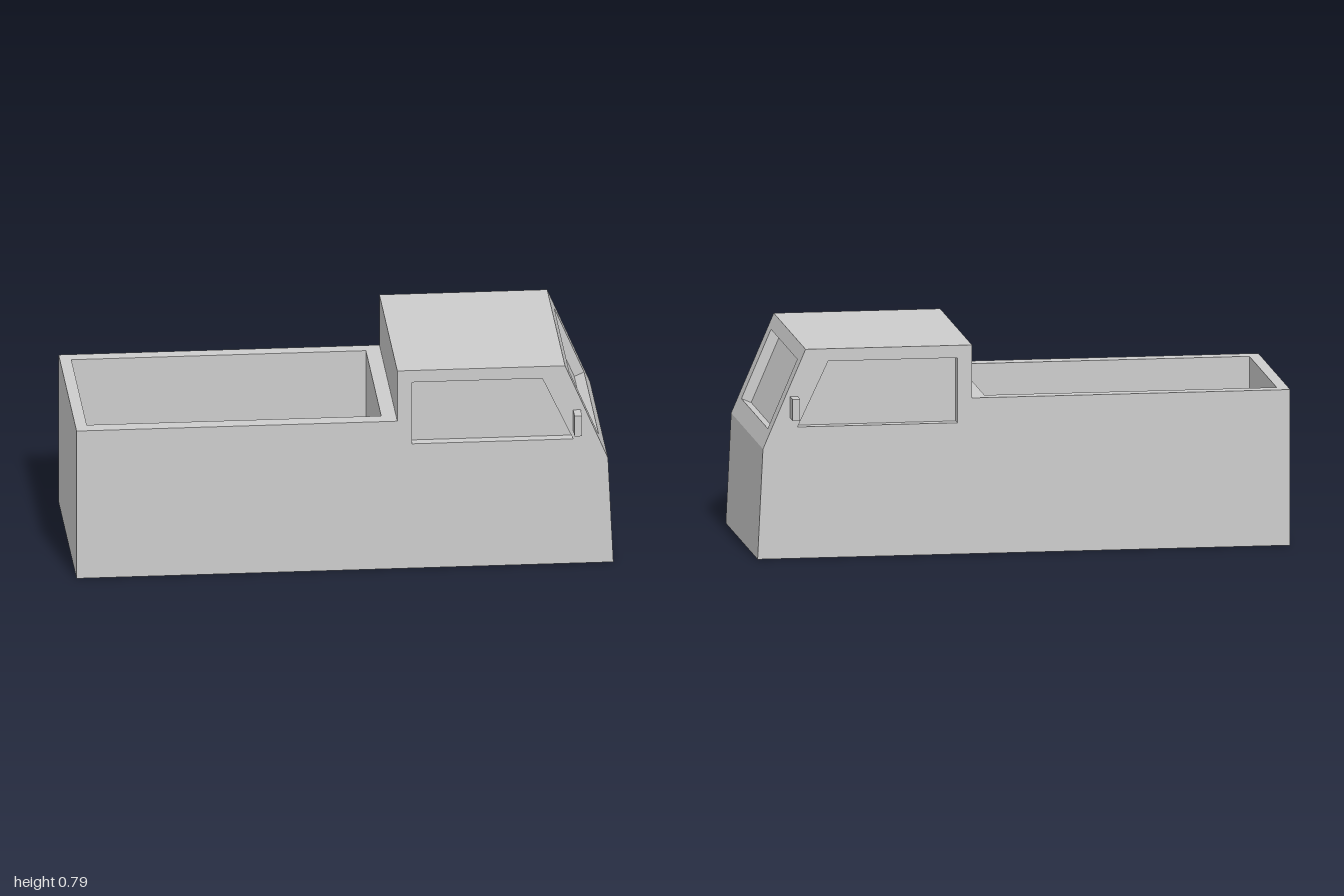
import * as THREE from 'three';

const HALF = 0.392; // half body width
const NOSE_Y = 0.415, NOSE_X = 0.98, ROOF_Y = 0.787, ROOF_X = 0.82, CAB_X = 0.195, BED_Y = 0.587;

const rect = (x0, y0, x1, y1) => [[x0, y0], [x1, y0], [x1, y1], [x0, y1]];
const mirrorX = (pts) => pts.map(([x, y]) => [-x, y]).reverse();
const toVectors = (pts) => pts.map(([x, y]) => new THREE.Vector2(x, y));

// Flat panel facing local +z, optionally with a recessed pocket (counter-clockwise outlines)
function panelGeometry(outline, pocket, depth) {
  const shape = new THREE.Shape(toVectors(outline));
  const flat = (s, z) => [...new THREE.ShapeGeometry(s).translate(0, 0, z).toNonIndexed().attributes.position.array];
  let positions;
  if (pocket) {
    shape.holes.push(new THREE.Path(toVectors(pocket)));
    positions = [...flat(shape, 0), ...flat(new THREE.Shape(toVectors(pocket)), -depth)];
    pocket.forEach((p, i) => {
      const q = pocket[(i + 1) % pocket.length];
      positions.push(...p, 0, ...q, 0, ...q, -depth, ...p, 0, ...q, -depth, ...p, -depth);
    });
  } else {
    positions = flat(shape, 0);
  }
  const geometry = new THREE.BufferGeometry();
  geometry.setAttribute('position', new THREE.Float32BufferAttribute(positions, 3));
  geometry.computeVertexNormals();
  return geometry;
}

export function createModel() {
  const model = new THREE.Group();
  model.name = 'pickupTruck';
  const grey = new THREE.MeshStandardMaterial({ color: 0xcccccc });
  grey.name = 'lightGrey';

  // Place a panel by its origin and its local right and up directions
  function addPanel(name, origin, right, up, outline, pocket, depth) {
    const u = new THREE.Vector3(...right).normalize();
    const v = new THREE.Vector3(...up).normalize();
    const basis = new THREE.Matrix4().makeBasis(u, v, u.clone().cross(v)).setPosition(...origin);
    const mesh = new THREE.Mesh(panelGeometry(outline, pocket, depth).applyMatrix4(basis), grey);
    mesh.name = name;
    model.add(mesh);
  }

  // Sides with recessed door windows
  const profile = [[-1, 0], [1, 0], [NOSE_X, NOSE_Y], [ROOF_X, ROOF_Y], [CAB_X, ROOF_Y], [CAB_X, BED_Y], [-1, BED_Y]];
  const sideWindow = [[0.25, 0.495], [0.85, 0.495], [0.735, 0.74], [0.25, 0.74]];
  addPanel('frontSide', [0, 0, HALF], [1, 0, 0], [0, 1, 0], profile, sideWindow, 0.04);
  addPanel('backSide', [0, 0, -HALF], [-1, 0, 0], [0, 1, 0], mirrorX(profile), mirrorX(sideWindow), 0.04);

  // Sloped windscreen with recessed glass
  const slope = [ROOF_X - NOSE_X, ROOF_Y - NOSE_Y, 0];
  const slopeLength = Math.hypot(...slope);
  addPanel('windscreen', [NOSE_X, NOSE_Y, 0], [0, 0, -1], slope,
    rect(-HALF, 0, HALF, slopeLength), rect(-0.322, 0.071, 0.324, 0.352), 0.04);

  // Slightly leaning nose
  addPanel('nose', [1, 0, 0], [0, 0, -1], [NOSE_X - 1, NOSE_Y, 0],
    rect(-HALF, 0, HALF, Math.hypot(1 - NOSE_X, NOSE_Y)));

  // Open cargo bed: rim, inner walls and floor
  addPanel('cargoBed', [0, BED_Y, 0], [1, 0, 0], [0, 0, -1],
    rect(-1, -HALF, CAB_X, HALF), rect(-0.957, -0.333, 0.14, 0.338), BED_Y - 0.05);

  // Roof, cab back, tailgate and underside
  addPanel('roof', [0, ROOF_Y, 0], [1, 0, 0], [0, 0, -1], rect(CAB_X, -HALF, ROOF_X, HALF));
  addPanel('cabBack', [CAB_X, 0, 0], [0, 0, 1], [0, 1, 0], rect(-HALF, BED_Y, HALF, ROOF_Y));
  addPanel('tailgate', [-1, 0, 0], [0, 0, 1], [0, 1, 0], rect(-HALF, 0, HALF, BED_Y));
  addPanel('underside', [0, 0, 0], [1, 0, 0], [0, 0, 1], rect(-1, -HALF, 1, HALF));

  // Wing mirrors
  for (const side of [1, -1]) {
    const mirror = new THREE.Mesh(new THREE.BoxGeometry(0.028, 0.081, 0.065), grey);
    mirror.position.set(0.864, 0.57, side * (HALF + 0.0315));
    mirror.name = side > 0 ? 'frontSideMirror' : 'backSideMirror';
    model.add(mirror);
  }
  return model;
}
